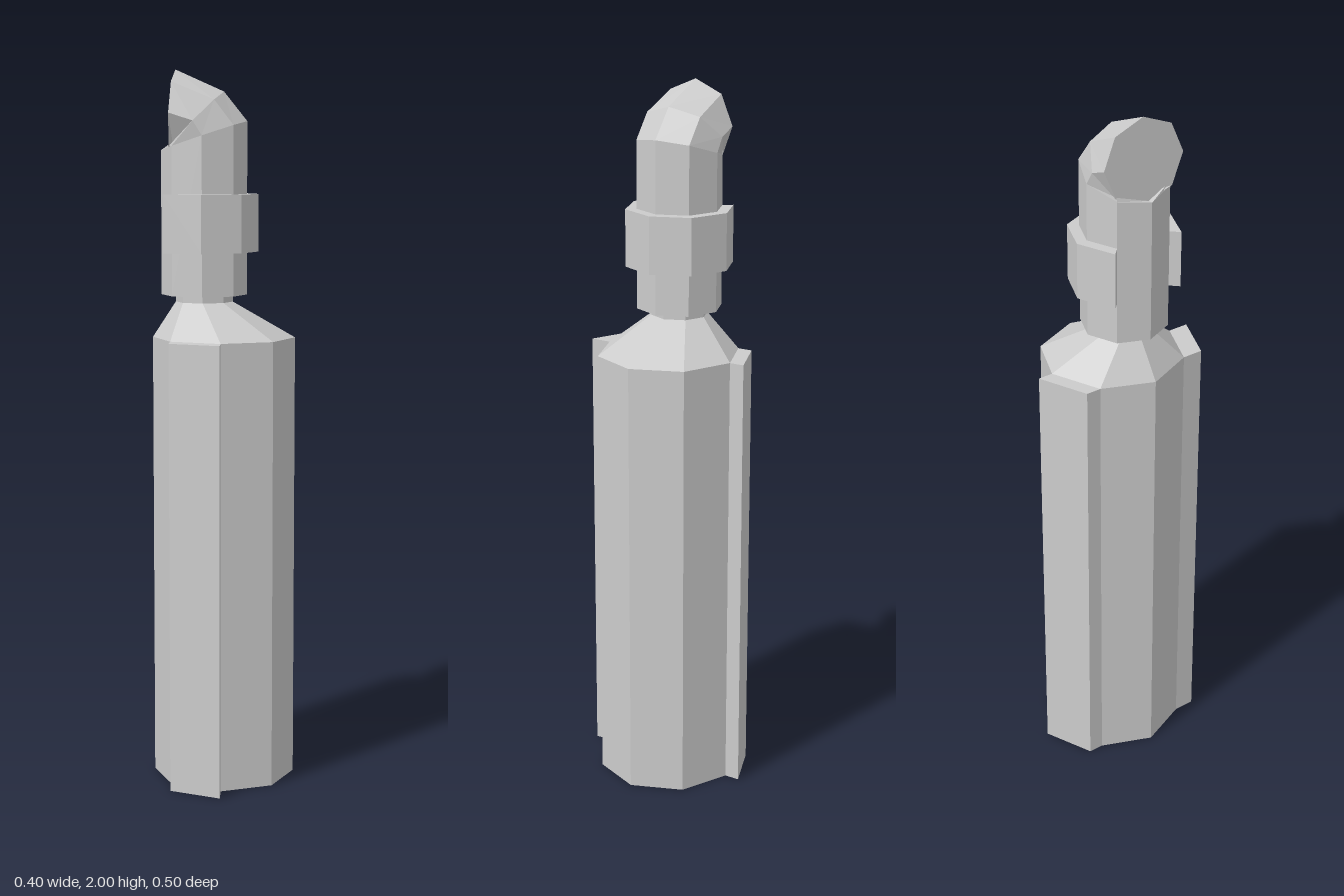
import * as THREE from 'three';

const SIDES = 8;
const CZ = -0.01; // z of the common axis
const NX = -0.055; // x of the offset neck and spout
const material = new THREE.MeshStandardMaterial({ color: 0xcccccc, flatShading: true, side: THREE.DoubleSide });

// Octagonal section: centre x, y, radius, tilt towards -x, yaw skew
function ring(x, y, r, tilt = 0, yaw = 0, stretch = 1) {
  return Array.from({ length: SIDES }, (_, i) => {
    const a = (i / SIDES) * Math.PI * 2;
    const u = Math.cos(a) * r * stretch, v = Math.sin(a) * r;
    return new THREE.Vector3(x + u * Math.cos(tilt) - v * yaw, y + u * Math.sin(tilt), CZ + v);
  });
}

// Closed skin through a list of rings, capped at both ends
function loft(name, rings) {
  const pos = [];
  const tri = (...pts) => pts.forEach((p) => pos.push(p.x, p.y, p.z));
  for (let k = 0; k < rings.length - 1; k++) {
    for (let i = 0; i < SIDES; i++) {
      const j = (i + 1) % SIDES, b = rings[k], t = rings[k + 1];
      tri(b[i], t[i], b[j]);
      tri(t[i], t[j], b[j]);
    }
  }
  const first = rings[0], last = rings[rings.length - 1];
  for (let i = 1; i < SIDES - 1; i++) {
    tri(first[0], first[i], first[i + 1]);
    tri(last[0], last[i + 1], last[i]);
  }
  const g = new THREE.BufferGeometry();
  g.setAttribute('position', new THREE.Float32BufferAttribute(pos, 3));
  g.computeVertexNormals();
  const mesh = new THREE.Mesh(g, material);
  mesh.name = name;
  return mesh;
}

// Vertical prism from an [x, z] outline
function prism(name, outline, y0, y1) {
  const shape = new THREE.Shape(outline.map(([x, z]) => new THREE.Vector2(x, -z)));
  const g = new THREE.ExtrudeGeometry(shape, { depth: y1 - y0, bevelEnabled: false });
  g.rotateX(-Math.PI / 2).translate(0, y0, 0);
  const mesh = new THREE.Mesh(g, material);
  mesh.name = name;
  return mesh;
}

export function createModel() {
  const model = new THREE.Group();

  // Hollow-bottomed body, sloping shoulder and narrow neck
  model.add(loft('body', [
    ring(0, 1.2, 0.155),
    ring(0, 0, 0.155),
    ring(0, 0, 0.2),
    ring(0, 1.26, 0.2),
    ring(NX, 1.36, 0.08),
    ring(NX, 1.4, 0.08),
  ]));

  // Slabs on the front and back facets
  const d = 0.2 * Math.SQRT1_2;
  for (const [name, s, t] of [['frontPanel', 1, 0.06], ['backPanel', -1, 0.043]]) {
    model.add(prism(name, [
      [-d, CZ + s * d], [0, CZ + s * 0.2], [0, CZ + s * (0.2 + t)], [-d, CZ + s * (d + t)],
    ], 0, 1.26));
  }

  // Upright tube bending over into a blunt sideways end
  model.add(loft('spout', [
    ring(NX, 1.38, 0.12),
    ring(NX, 1.82, 0.12, 0.32, 0, 1 / Math.cos(0.32)),
    ring(-0.08, 1.86, 0.12, Math.PI / 4, 0, 0.95),
    ring(-0.139, 1.881, 0.12, 1.53, 0.06),
  ]));

  // C-shaped collar, open on the spout side
  const arc = (r) => Array.from({ length: 7 }, (_, i) => {
    const a = ((i - 3) * Math.PI) / 4;
    return [NX + r * Math.cos(a), CZ + r * Math.sin(a)];
  });
  model.add(prism('collar', [...arc(0.152), ...arc(0.117).reverse()], 1.5, 1.66));

  return model;
}
